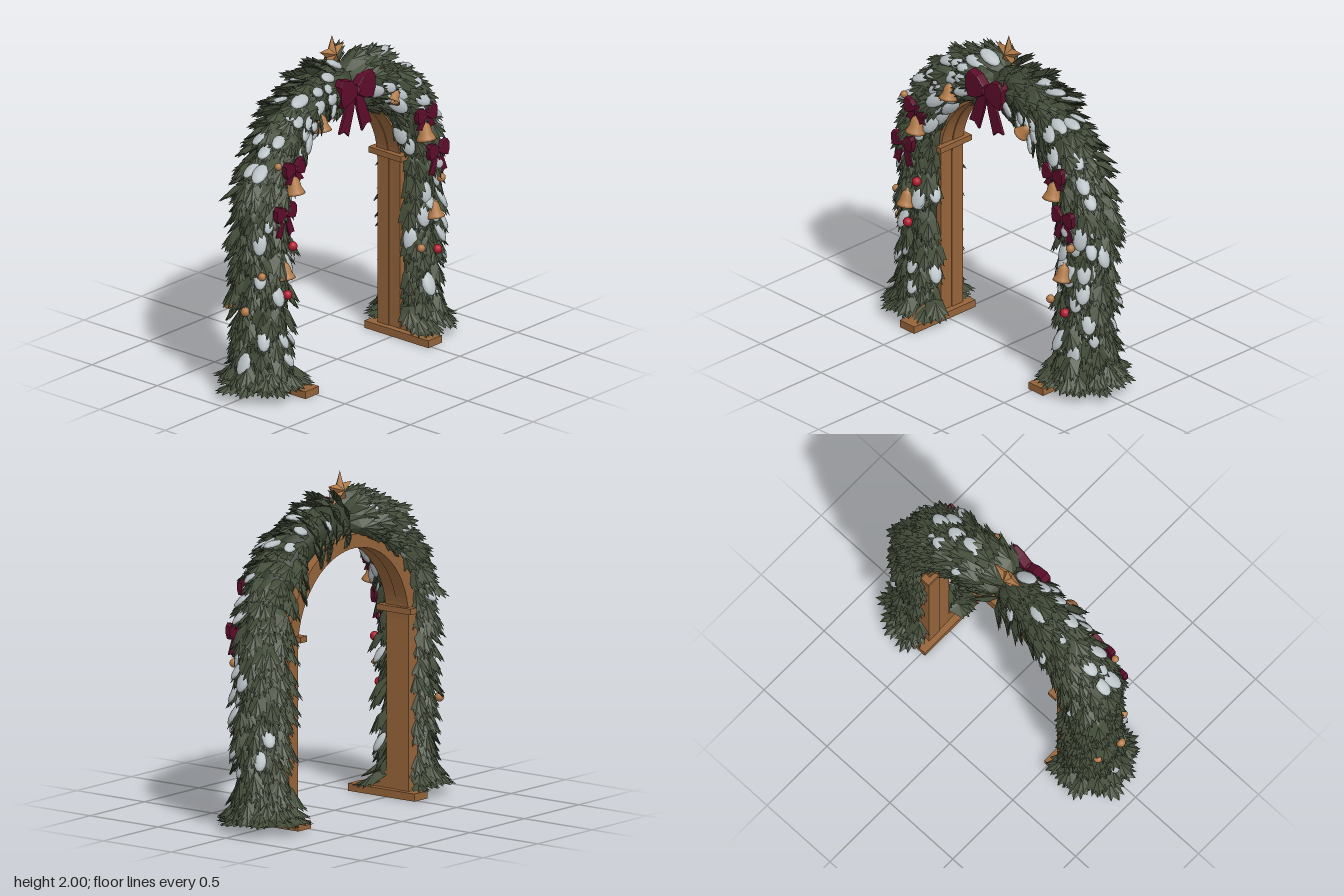
import * as THREE from 'three';
import { mergeGeometries } from 'three/addons/utils/BufferGeometryUtils.js';

const mat = (name, color, extra = {}) => {
  const m = new THREE.MeshStandardMaterial({ color, ...extra });
  m.name = name;
  return m;
};
const V = (x, y, z) => new THREE.Vector3(x, y, z);
const CY = 1.05, R = 0.655; // centre height and radius of the garland arch

export function createModel() {
  const green = mat('pine green', 0x434c39, { flatShading: true });
  const darkGreen = mat('dark pine green', 0x363f2f);
  const white = mat('snow', 0xb9c1c5);
  const wood = mat('wood', 0x95643a);
  const gold = mat('antique gold', 0xb17a48);
  const maroon = mat('maroon ribbon', 0x5c0c29);
  const red = mat('red', 0xb01c2e);

  const model = new THREE.Group();
  const add = (name, geo, material, parent = model) => {
    const m = new THREE.Mesh(geo, material);
    m.name = name;
    parent.add(m);
    return m;
  };
  let seed = 7;
  const rnd = () => (seed = (seed * 16807) % 2147483647) / 2147483647;
  const jit = (a) => (rnd() * 2 - 1) * a;

  // Wooden arch: three planks side by side, straight posts joined by a half ring
  const arch = (ro, ri, depth, x0) => {
    const s = new THREE.Shape();
    s.moveTo(ro, 0.04);
    s.lineTo(ro, CY);
    s.absarc(0, CY, ro, 0, Math.PI, false);
    s.lineTo(-ro, 0.04);
    s.lineTo(-ri, 0.04);
    s.lineTo(-ri, CY);
    s.absarc(0, CY, ri, Math.PI, 0, true);
    s.lineTo(ri, 0.04);
    return new THREE.ExtrudeGeometry(s, { depth, bevelEnabled: false, curveSegments: 24 })
      .rotateY(Math.PI / 2).translate(x0, 0, 0);
  };
  add('archBackPlank', arch(0.59, 0.508, 0.085, -0.14), wood);
  add('archFrontPlank', arch(0.59, 0.514, 0.085, -0.055), wood);
  for (const s of [-1, 1]) {
    add('baseBoard', new THREE.BoxGeometry(0.49, 0.045, 0.12), wood).position.set(0.035, 0.0225, s * 0.535);
    add('crossBar', new THREE.BoxGeometry(0.25, 0.035, 0.06), wood).position.set(-0.055, 1.11, s * 0.505);
    const b = new THREE.Shape([[0.03, 0.045], [0.22, 0.045], [0.03, 0.15]].map((p) => new THREE.Vector2(...p)));
    add('baseBrace', new THREE.ExtrudeGeometry(b, { depth: 0.05, bevelEnabled: false }), wood)
      .position.z = s * 0.54 - 0.025;
  }

  // Garland core
  const path = new THREE.CurvePath();
  const arcPts = [];
  for (let i = 0; i <= 16; i++) {
    const a = (i / 16) * Math.PI;
    arcPts.push(V(0, CY + R * Math.sin(a), R * Math.cos(a)));
  }
  path.add(new THREE.LineCurve3(V(0, 0.035, R), V(0, CY, R)));
  path.add(new THREE.CatmullRomCurve3(arcPts));
  path.add(new THREE.LineCurve3(V(0, CY, -R), V(0, 0.035, -R)));
  add('garlandCore', new THREE.TubeGeometry(path, 90, 0.11, 14), darkGreen);
  for (const s of [-1, 1]) {
    add('garlandEnd', new THREE.CylinderGeometry(0.115, 0.125, 0.06, 14), darkGreen).position.set(0, 0.06, s * R);
  }

  // One pine sprig: plump body with a ragged tip
  const half = [[0.1, 0], [0.23, 0.25], [0.26, 0.52], [0.3, 0.74], [0.19, 0.7], [0.19, 0.92], [0.09, 0.82]];
  const outline = [...half, [0, 1], ...half.map(([x, y]) => [-x, y]).reverse()];
  const pt = ([x, y]) => [x, y, 0.05 - 0.06 * y * y - 0.6 * x * x];
  const tri = [];
  outline.forEach((p, i) => {
    const q = outline[(i + 1) % outline.length];
    tri.push(0, 0.42, 0.15, ...pt(p), ...pt(q), 0, 0.42, -0.06, ...pt(q), ...pt(p));
  });
  const sprig = new THREE.BufferGeometry();
  sprig.setAttribute('position', new THREE.Float32BufferAttribute(tri, 3));
  sprig.computeVertexNormals();
  const flake = new THREE.SphereGeometry(1, 9, 6).scale(0.21, 0.34, 0.1).rotateX(-0.1).translate(0, 0.52, 0.08);

  // Rings of sprigs running from the top down both legs
  const sprigs = [], snow = [];
  const arcLen = R * Math.PI / 2, total = arcLen + CY - 0.08, rings = 29, count = 13;
  for (const side of [-1, 1]) {
    for (let r = 0; r <= rings; r++) {
      for (let k = 0; k < count; k++) {
        const s = Math.max(0, (r / rings) * total + jit(0.025));
        const a = Math.min(s / R, Math.PI / 2);
        const out = V(0, Math.cos(a), side * Math.sin(a));
        const down = V(0, -Math.sin(a), side * Math.cos(a));
        const phi = ((k + (r % 2) / 2) / count) * Math.PI * 2 + jit(0.2);
        const c = Math.cos(phi), sx = Math.sin(phi);
        // leave the wooden board bare on the inside
        if (c < -0.45 && sx < 0.4 && sx > -0.8) continue;
        const radial = out.clone().multiplyScalar(c).add(V(sx, 0, 0));
        const centre = V(0, CY, 0).addScaledVector(out, R);
        if (s > arcLen) centre.y -= s - arcLen;
        const foot = Math.max(0, 1 - (total - s) / 0.22);
        const splay = sx > 0.35 ? 0.46 : sx < -0.35 ? 0.72 : s < arcLen ? 0.45 : 0.6;
        const dir = down.clone().multiplyScalar(0.8 - 0.68 * foot)
          .addScaledVector(radial, splay + jit(0.24) + foot * 0.3).normalize();
        const len = 0.19 + jit(0.03) + foot * 0.015;
        const pos = centre.addScaledVector(radial, 0.09);
        dir.y = Math.max(dir.y, (0.045 - pos.y) / len);
        dir.normalize();
        const up = radial.clone().addScaledVector(down, -0.6);
        up.addScaledVector(dir, -up.dot(dir)).normalize();
        const m = new THREE.Matrix4().makeBasis(dir.clone().cross(up), dir, up);
        m.scale(V(len, len, len)).setPosition(pos);
        sprigs.push(sprig.clone().applyMatrix4(m));
        const onArch = s < arcLen * 0.95;
        const chance = sx > 0.25 ? (onArch ? 0.36 : 0.2) : onArch && c > 0 ? 0.16 : 0.02;
        if (rnd() < chance && foot < 0.3) snow.push(flake.clone().applyMatrix4(m));
      }
    }
  }
  add('pineSprigs', mergeGeometries(sprigs), green);
  add('snowPatches', mergeGeometries(snow), white);

  // Five-pointed faceted star on top
  const starTri = [];
  for (let i = 0; i < 10; i++) {
    const p = (j) => {
      const q = j % 2 ? 0.047 : 0.114, t = Math.PI / 2 + j * Math.PI / 5;
      return [q * Math.cos(t), q * Math.sin(t), 0];
    };
    starTri.push(0, 0, 0.038, ...p(i), ...p(i + 1), 0, 0, -0.038, ...p(i + 1), ...p(i));
  }
  const star = new THREE.BufferGeometry();
  star.setAttribute('position', new THREE.Float32BufferAttribute(starTri, 3));
  star.computeVertexNormals();
  star.rotateY(Math.PI / 2);
  add('star', star, gold).position.set(-0.03, 1.886, 0.012);

  // Ribbon bows facing +x
  const plate = (pts, depth, bevel) => new THREE.ExtrudeGeometry(
    new THREE.Shape(pts.map((p) => new THREE.Vector2(...p))),
    { depth, bevelEnabled: true, bevelSize: bevel, bevelThickness: bevel, bevelSegments: 2 });
  const loopGeo = plate([[0.012, -0.022], [0.07, -0.055], [0.125, -0.066], [0.142, -0.02], [0.142, 0.055],
    [0.12, 0.086], [0.06, 0.072], [0.012, 0.026]], 0.045, 0.008);
  const tailGeo = plate([[-0.005, 0], [0.04, -0.01], [0.085, -0.11], [0.135, -0.232], [0.095, -0.228],
    [0.062, -0.262], [0.022, -0.13]], 0.01, 0.005);
  const bow = (x, y, z, scale, tail = 1) => {
    const g = new THREE.Group();
    g.name = 'bow';
    for (const s of [0, 1]) {
      const h = new THREE.Group();
      h.rotation.y = s * Math.PI;
      add('bowLoop', loopGeo, maroon, h).position.z = -0.0225;
      const t = add('bowTail', tailGeo, maroon, h);
      t.scale.y = tail;
      t.position.z = -0.005;
      g.add(h);
    }
    add('bowKnot', new THREE.SphereGeometry(0.032, 10, 8).scale(0.9, 1.1, 1.2), maroon, g);
    g.position.set(x, y, z);
    g.rotation.y = Math.PI / 2;
    g.scale.setScalar(scale);
    model.add(g);
  };
  bow(0.145, 1.705, 0.012, 1);
  for (const s of [-1, 1]) {
    bow(0.175, 1.39, s * 0.573, 0.57, 0.6);
    bow(0.185, 1.145, s * 0.665, 0.57);
  }

  // Bells with clappers
  const bellGeo = new THREE.LatheGeometry([[0.048, 0.004], [0.06, 0], [0.054, 0.014], [0.041, 0.04], [0.036, 0.075],
    [0.026, 0.095], [0.01, 0.104], [0.01, 0.118], [0, 0.12]].map((p) => new THREE.Vector2(...p)), 18);
  const bellMat = mat('bell gold', 0xb17a48, { side: THREE.DoubleSide });
  const bell = (x, y, z, scale, tilt = 0) => {
    const g = new THREE.Group();
    g.name = 'bell';
    add('bellBody', bellGeo, bellMat, g);
    add('bellClapper', new THREE.SphereGeometry(0.016, 10, 8), gold, g).position.y = 0.004;
    g.position.set(x, y, z);
    g.rotation.set(tilt, 0, 0.2);
    g.scale.setScalar(scale);
    model.add(g);
  };
  for (const s of [-1, 1]) {
    bell(0.182, 1.235, s * 0.57, 1);
    bell(0.182, 0.735, s * 0.65, 0.92);
  }
  bell(0.165, 1.545, 0.315, 0.92);
  bell(0.165, 1.545, -0.29, 0.8, -0.7);

  // Baubles: x, y, z, radius
  const bauble = (name, material, list) => list.forEach(([x, y, z, r]) =>
    add(name, new THREE.SphereGeometry(r, 14, 10), material).position.set(x, y, z));
  bauble('redBauble', red, [[0.165, 0.91, 0.575, 0.028], [0.178, 0.63, 0.635, 0.028], [0.178, 0.53, -0.67, 0.028]]);
  bauble('goldBauble', gold, [[0.04, 0.55, 0.845, 0.028], [-0.12, 0.55, 0.815, 0.028], [0.172, 0.96, -0.71, 0.026],
    [0.168, 0.57, -0.54, 0.025], [0.12, 0.77, 0.79, 0.024], [0.155, 1.43, 0.69, 0.022]]);

  return model;
}
